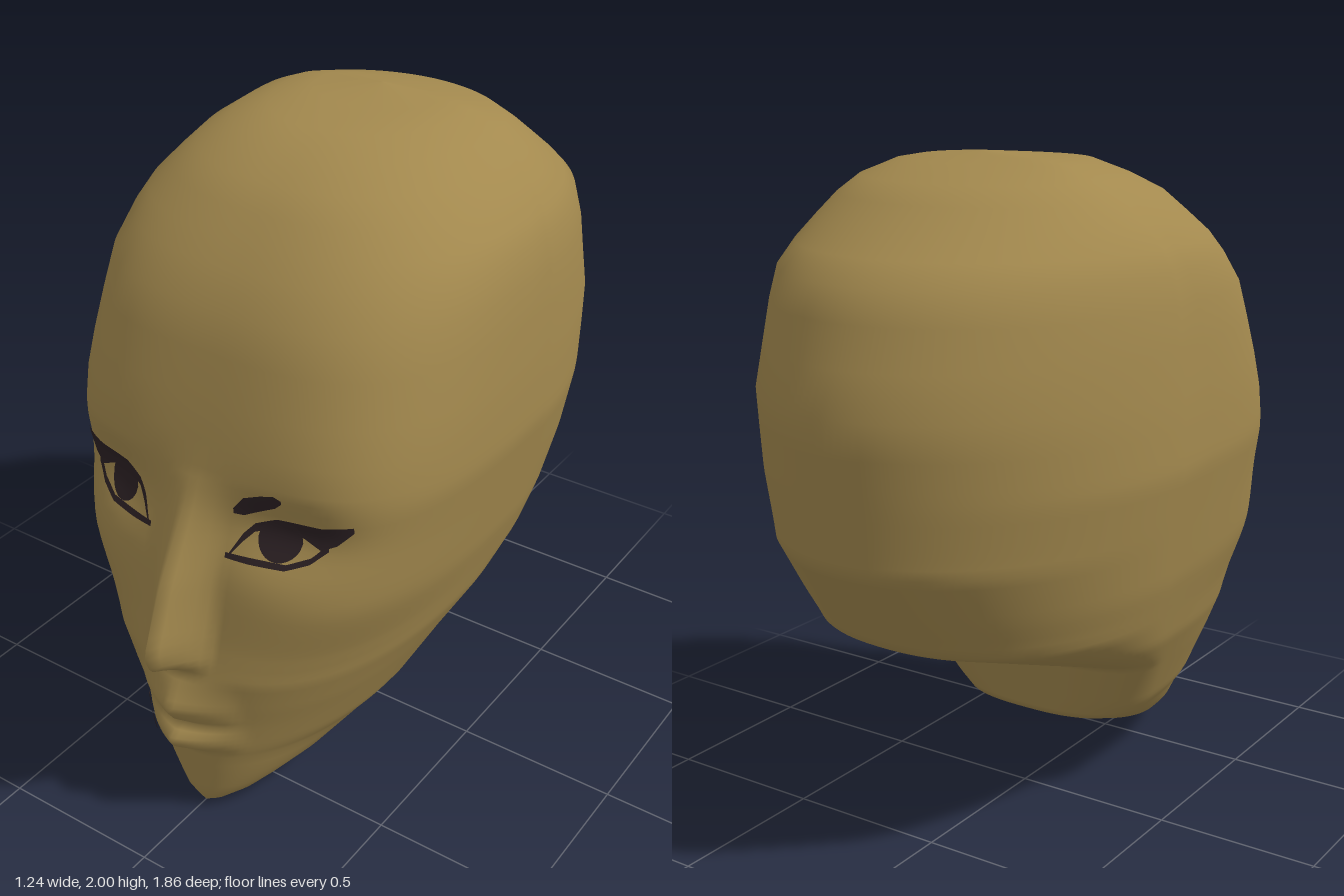
import * as THREE from 'three';

// Piecewise-linear lookup in a list of [y, value] pairs
function at(table, y) {
  if (y <= table[0][0]) return table[0][1];
  for (let i = 1; i < table.length; i++) {
    const [y0, v0] = table[i - 1], [y1, v1] = table[i];
    if (y <= y1) return v0 + (v1 - v0) * (y - y0) / (y1 - y0);
  }
  return table[table.length - 1][1];
}

// Head outline by height: half width, face plane, back of skull and widest depth
const WIDTH = [[0, 0], [0.03, 0.09], [0.14, 0.22], [0.3, 0.35], [0.58, 0.49], [0.8, 0.555], [1.15, 0.618],
  [1.35, 0.618], [1.62, 0.6], [1.74, 0.57], [1.87, 0.465], [1.93, 0.38], [1.98, 0.26], [2, 0]];
const FRONT = [[0, 0.71], [0.06, 0.74], [0.27, 0.78], [0.4, 0.785], [0.58, 0.8], [0.7, 0.775], [0.9, 0.745],
  [1.1, 0.71], [1.3, 0.665], [1.6, 0.575], [1.76, 0.45], [1.89, 0.32], [1.97, 0.13], [2, -0.22]];
const BACK = [[0, 0.71], [0.02, 0.55], [0.08, 0.37], [0.16, 0.2], [0.25, 0], [0.47, -0.08], [0.68, -0.7],
  [0.96, -0.89], [1.38, -0.93], [1.7, -0.82], [1.93, -0.5], [2, -0.22]];
const MIDDLE = [[0, 0.71], [0.03, 0.62], [0.1, 0.5], [0.25, 0.24], [0.47, 0.12], [0.68, -0.06], [1, -0.13],
  [1.7, -0.15], [2, -0.22]];

// Squareness of the sections in front and behind
const FRONT_POWER = [[0, 2], [0.3, 2.1], [0.6, 2.5], [0.85, 3.4], [1.25, 3.6], [1.6, 3], [2, 2.2]];
const BACK_POWER = [[0.1, 2], [0.25, 2.7], [0.47, 2.7], [0.7, 2.1], [1, 1.95]];

// Nose and lips: how far they stand out from the face plane
const NOSE = [[0.58, 0], [0.635, 0.125], [0.7, 0.16], [0.88, 0.11], [1.1, 0.02], [1.2, 0]];
const LIPS = [[0.27, 0], [0.32, 0.07], [0.36, 0.065], [0.385, 0.015], [0.41, 0.045], [0.46, 0.075], [0.56, 0.015], [0.58, 0]];

const arc = (s, n) => Math.pow(Math.max(0, 1 - Math.pow(Math.abs(s), n)), 1 / n);
const bump = (dx, dy) => Math.exp(-dx * dx - dy * dy);

function faceDepth(x, y) {
  const w = at(WIDTH, y), m = at(MIDDLE, y), ax = Math.abs(x);
  const s = w > 0 ? Math.min(1, ax / w) : 0;
  let z = m + (at(FRONT, y) - m) * arc(s, at(FRONT_POWER, y));
  z += at(NOSE, y) * Math.pow(Math.max(0, 1 - ax / 0.11), 1.1);
  z += at(LIPS, y) * Math.max(0, 1 - ax / 0.18);
  // eye sockets
  return z - 0.055 * bump((ax - 0.3) / 0.17, (y - 1.06) / 0.1);
}

function makeGeometry(positions, index) {
  const g = new THREE.BufferGeometry();
  g.setAttribute('position', new THREE.Float32BufferAttribute(positions, 3));
  g.setIndex(index);
  g.computeVertexNormals();
  return g;
}

// Section heights: close together over the face, wide apart on the skull
function sectionHeights() {
  const ys = [0, 0.02, 0.06, 0.1, 0.16, 0.21, 0.25];
  for (let y = 0.27; y < 0.7; y += 0.02) ys.push(y);
  for (let y = 0.72; y < 1.22; y += 0.03) ys.push(y);
  return ys.concat([1.28, 1.38, 1.5, 1.61, 1.7, 1.76, 1.82, 1.88, 1.93, 1.97, 1.985, 2]);
}

// Closed horizontal sections stacked from chin to crown
function headGeometry() {
  const ys = sectionHeights(), cols = 144, pos = [], index = [];
  ys.forEach((y, j) => {
    const w = at(WIDTH, y), m = at(MIDDLE, y), back = at(BACK, y);
    for (let i = 0; i < cols; i++) {
      const s = Math.sin(-Math.PI / 2 + 2 * Math.PI * i / cols);
      const z = i <= cols / 2 ? faceDepth(w * s, y) : m + (back - m) * arc(s, at(BACK_POWER, y));
      pos.push(w * s, y, z);
      if (j < ys.length - 1) {
        const p = j * cols + i, q = j * cols + (i + 1) % cols;
        index.push(p, q, q + cols, p, q + cols, p + cols);
      }
    }
  });
  return makeGeometry(pos, index);
}

// Thin painted patch laid on the face, from [x, lower y, upper y] stations
function patchGeometry(stations, side) {
  const n = 32, m = 5, pos = [], index = [];
  const low = stations.map(s => [s[0], s[1]]), high = stations.map(s => [s[0], s[2]]);
  const x0 = stations[0][0], x1 = stations[stations.length - 1][0];
  for (let i = 0; i <= n; i++) {
    const x = x0 + (x1 - x0) * i / n;
    for (let j = 0; j <= m; j++) {
      const y = at(low, x) + (at(high, x) - at(low, x)) * j / m;
      pos.push(x * side, y, faceDepth(x, y) + 0.007);
      if (i < n && j < m) {
        const p = i * (m + 1) + j, q = p + m + 1;
        index.push(p, q, q + 1, p, q + 1, p + 1);
      }
    }
  }
  return makeGeometry(pos, index);
}

export function createModel() {
  const skin = new THREE.MeshStandardMaterial({ color: 0xa3894e });
  skin.name = 'golden skin';
  const ink = new THREE.MeshStandardMaterial({ color: 0x2b2023, side: THREE.DoubleSide });
  ink.name = 'dark paint';

  const model = new THREE.Group();
  model.name = 'head';
  const add = (name, geometry, material) => {
    const mesh = new THREE.Mesh(geometry, material);
    mesh.name = name;
    model.add(mesh);
  };
  add('skull and face', headGeometry(), skin);

  // Eyes: upper lid, lower lash line and iris
  const lid = [[0.14, 0.975, 0.985], [0.17, 1.02, 1.045], [0.2, 1.055, 1.08], [0.26, 1.07, 1.105],
    [0.33, 1.06, 1.105], [0.38, 1.035, 1.105], [0.42, 1.055, 1.112], [0.46, 1.1, 1.118]];
  const lash = [[0.13, 0.97, 0.985], [0.2, 0.968, 0.985], [0.3, 0.97, 0.985], [0.36, 0.995, 1.012], [0.4, 1.035, 1.06]];
  const iris = [];
  for (let i = 0; i <= 12; i++) {
    const a = Math.PI * i / 12, h = 0.06 * Math.sin(a);
    iris.push([0.27 - 0.06 * Math.cos(a), 1.045 - h, 1.045 + h]);
  }
  for (const side of [1, -1]) {
    const label = side > 0 ? 'left' : 'right';
    add(label + ' upper lid', patchGeometry(lid, side), ink);
    add(label + ' lash line', patchGeometry(lash, side), ink);
    add(label + ' iris', patchGeometry(iris, side), ink);
  }

  // Single painted brow and the mark at the mouth corner
  add('left brow', patchGeometry([[0.14, 1.1, 1.115], [0.17, 1.1, 1.155], [0.22, 1.125, 1.175],
    [0.26, 1.145, 1.185], [0.28, 1.165, 1.175]], 1), ink);
  add('mouth mark', patchGeometry([[0.08, 0.32, 0.33], [0.12, 0.32, 0.35], [0.15, 0.33, 0.375],
    [0.185, 0.35, 0.36]], -1), ink);
  return model;
}
